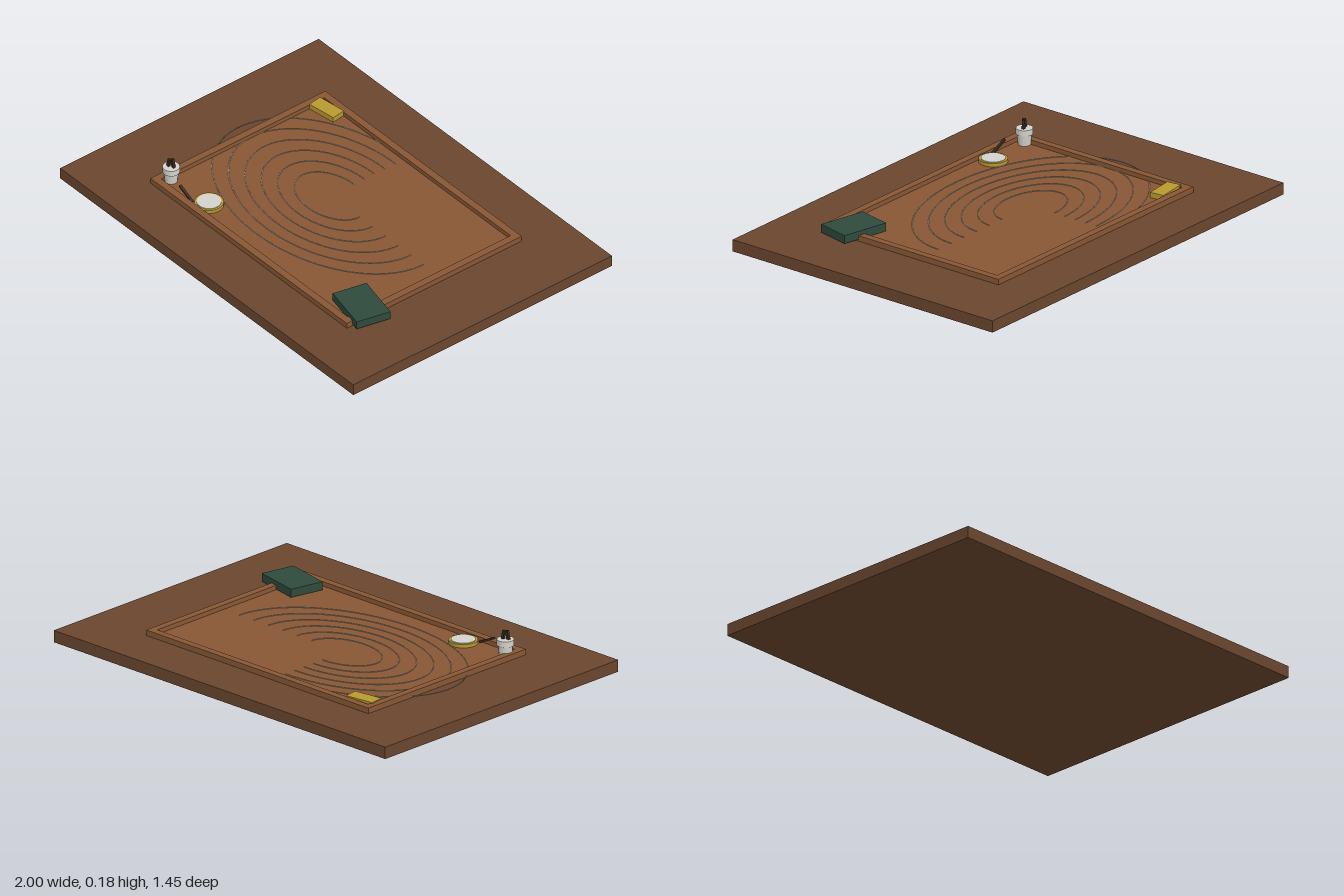
import * as THREE from 'three';

export function createModel() {
  const root = new THREE.Group();
  const mat = (name, color) => {
    const m = new THREE.MeshStandardMaterial({ color });
    m.name = name;
    return m;
  };
  const darkWood = mat('dark wood', 0x6a462e);
  const wood = mat('warm wood', 0x885735);
  const green = mat('dark green', 0x2f4a3d);
  const gold = mat('gold', 0xb8982f);
  const white = mat('off white', 0xd4d2cc);
  const wire = mat('pale wire', 0xc4cdc2);
  const dark = mat('dark brown', 0x3a2a1c);

  const add = (name, geo, material, x, y, z, parent = root) => {
    const m = new THREE.Mesh(geo, material);
    m.name = name;
    m.position.set(x, y, z);
    parent.add(m);
    return m;
  };
  const box = (w, h, d) => new THREE.BoxGeometry(w, h, d);

  // Table slab and inset panel
  add('tableTop', box(2, 0.055, 1.45), darkWood, 0, 0.0275, 0);
  add('panel', box(1.28, 0.006, 0.92), wood, 0, 0.057, 0);

  // Raised frame
  for (const s of [-1, 1]) {
    add('frameLongBar', box(1.34, 0.027, 0.034), wood, 0, 0.0675, s * 0.473);
    add('frameShortBar', box(0.034, 0.027, 0.912), wood, s * 0.653, 0.0675, 0);
  }

  // Six concentric three-quarter wire arcs
  const arcs = new THREE.Group();
  arcs.name = 'wireArcs';
  root.add(arcs);
  for (let i = 0; i < 6; i++) {
    const rx = 0.195 + i * 0.0874, rz = 0.13 + i * 0.058;
    const pts = [];
    for (let k = 0; k <= 72; k++) {
      const a = (k / 72) * Math.PI * 1.5;
      pts.push(new THREE.Vector3(rx * Math.cos(a), 0, rz * Math.sin(a)));
    }
    const path = new THREE.CatmullRomCurve3(pts);
    add('wireArc', new THREE.TubeGeometry(path, 96, 0.0017, 5), wire, -0.095, 0.0625, -0.05, arcs);
  }

  // Green book on the front corner
  add('book', box(0.23, 0.038, 0.164), green, 0.615, 0.082, 0.362).rotation.y = -0.22;

  // Gold block on the back corner
  add('goldBlock', box(0.142, 0.025, 0.068), gold, -0.57, 0.0735, -0.416).rotation.y = 0.13;

  // Round dial with gold rim
  add('dialBase', new THREE.CylinderGeometry(0.064, 0.064, 0.016, 32), gold, -0.385, 0.068, 0.395);
  add('dialFace', new THREE.CylinderGeometry(0.054, 0.054, 0.004, 32), white, -0.385, 0.077, 0.395);

  // Leaning stick beside the dial
  add('stick', box(0.092, 0.009, 0.012), dark, -0.482, 0.086, 0.444).rotation.z = -0.44;

  // Small pot with a wide rim, holding short sticks
  const pot = new THREE.Group();
  pot.name = 'pot';
  pot.position.set(-0.622, 0.06, 0.413);
  root.add(pot);
  const profile = [[0, 0], [0.028, 0], [0.033, 0.048], [0.038, 0.05], [0.038, 0.077], [0, 0.077]];
  const potGeo = new THREE.LatheGeometry(profile.map(p => new THREE.Vector2(...p)), 16).toNonIndexed();
  potGeo.computeVertexNormals();
  add('potBody', potGeo, white, 0, 0, 0, pot);
  for (const [x, z, tilt] of [[-0.008, 0.006, -0.2], [0.008, -0.004, 0.2]]) {
    add('potStick', box(0.013, 0.044, 0.012), dark, x, 0.095, z, pot).rotation.z = tilt;
  }

  return root;
}
